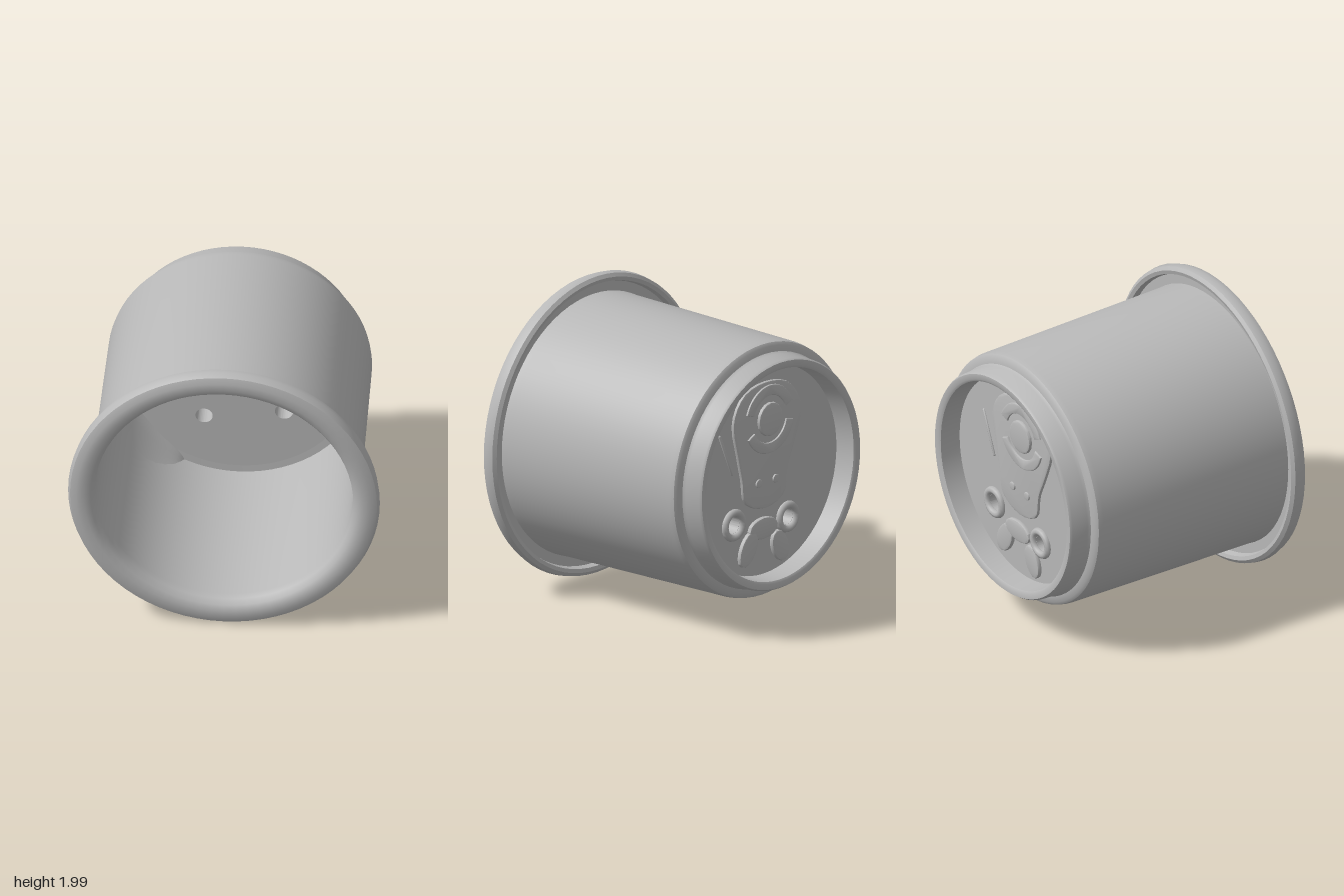
import * as THREE from 'three';
import { toCreasedNormals } from 'three/addons/utils/BufferGeometryUtils.js';

const FLOOR_BACK = -0.69, FLOOR_FRONT = -0.5;

export function createModel() {
  const model = new THREE.Group();
  const grey = new THREE.MeshStandardMaterial({ color: 0xb8b8b8 });

  // The cup lies on its side: its axis is z, at height y = 1
  const add = (name, geometry, crease = 0.6) => {
    const mesh = new THREE.Mesh(toCreasedNormals(geometry, crease), grey);
    mesh.name = name;
    mesh.position.y = 1;
    model.add(mesh);
  };
  const lathe = (points, segments = 72) => {
    const g = new THREE.LatheGeometry(points.map(([r, z]) => new THREE.Vector2(r, z)), segments);
    return g.rotateX(Math.PI / 2);
  };

  // Wall: foot ring, stepped shoulder, tapered side, rolled rim, inside
  add('cupWall', lathe([
    [0.69, -0.68], [0.70, -0.83], [0.715, -0.84], [0.75, -0.84], [0.76, -0.825],
    [0.765, -0.715], [0.775, -0.695], [0.815, -0.69], [0.835, -0.675], [0.842, -0.64],
    [0.862, 0.73], [0.865, 0.775], [0.93, 0.775], [0.94, 0.735], [0.965, 0.728],
    [0.988, 0.745], [0.995, 0.785], [0.98, 0.825], [0.94, 0.84], [0.89, 0.84],
    [0.85, 0.825], [0.825, 0.79], [0.82, 0.74], [0.80, FLOOR_FRONT], [0.72, FLOOR_FRONT - 0.004],
  ]));

  // Floor with two drain holes
  const holes = [[-0.22, -0.36, 0.055], [0.29, -0.30, 0.058]];
  const disc = new THREE.Shape().absarc(0, 0, 0.75, 0, Math.PI * 2);
  for (const [x, y, r] of holes) {
    disc.holes.push(new THREE.Path().absarc(x, y, r, 0, Math.PI * 2, true));
  }
  const floor = new THREE.ExtrudeGeometry(disc, {
    depth: FLOOR_FRONT - FLOOR_BACK, bevelEnabled: false, curveSegments: 36,
  });
  add('cupFloor', floor.translate(0, 0, FLOOR_BACK));

  // Uneven fillet where the inside wall meets the floor: [angle, half width, depth, height]
  const lumps = [[123, 17, 0.12, 0.3], [55, 17, 0.09, 0.25], [176, 26, 0.10, 0.5],
    [215, 30, 0.11, 0.36]];
  const steps = 6;
  const fillet = lathe(Array.from({ length: steps + 1 }, (_, i) => [1, i / steps]), 120);
  const pos = fillet.attributes.position;
  for (let i = 0; i < pos.count; i++) {
    const a = Math.atan2(pos.getY(i), pos.getX(i));
    const t = THREE.MathUtils.clamp(pos.getZ(i), 0, 1);
    let depth = 0, height = 0;
    for (const [deg, half, d, h] of lumps) {
      let off = Math.abs(a * 180 / Math.PI - deg) % 360;
      off = Math.min(off, 360 - off) / half;
      const w = off < 1 ? Math.sqrt(1 - off * off) : 0;
      depth = Math.max(depth, d * w);
      height = Math.max(height, h * w);
    }
    const r = 0.815 - (depth + 0.005) * Math.pow(t, 1.6);
    const z = FLOOR_FRONT - 0.01 + height * Math.pow(1 - t, 1.6);
    pos.setXYZ(i, r * Math.cos(a), r * Math.sin(a), z);
  }
  add('innerFillet', fillet, 0.8);

  // Relief on the underside, raised towards -z
  const relief = (name, shape, height, bevel = 0.012) => {
    const g = new THREE.ExtrudeGeometry(shape, {
      depth: height, bevelThickness: bevel, bevelSize: bevel, bevelSegments: 2, curveSegments: 8,
    });
    add(name, g.translate(0, 0, FLOOR_BACK - height), 0.5);
  };
  const outline = (pts) => new THREE.Shape(
    new THREE.CatmullRomCurve3(pts.map(([x, y]) => new THREE.Vector3(x, y, 0)), true)
      .getPoints(40).slice(0, -1).map((p) => new THREE.Vector2(p.x, p.y)));

  relief('pearRelief', outline([[0, 0.58], [-0.22, 0.53], [-0.33, 0.36], [-0.27, 0.15],
    [-0.20, -0.02], [-0.17, -0.18], [0, -0.24], [0.18, -0.17], [0.21, -0.02],
    [0.25, 0.15], [0.29, 0.38], [0.2, 0.53]]), 0.008);

  // Round boss with a broken ring around it
  relief('roundBoss', new THREE.Shape().absarc(-0.03, 0.34, 0.1, 0, Math.PI * 2), 0.03);
  for (const start of [0.35, 3.4]) {
    const arc = new THREE.Shape();
    arc.absarc(-0.03, 0.34, 0.22, start, start + 2.4);
    arc.absarc(-0.03, 0.34, 0.165, start + 2.4, start, true);
    relief('bossRing', arc, 0.025, 0.008);
  }

  // Raised collars around the drain holes
  for (const [x, y, r] of holes) {
    const collar = new THREE.TorusGeometry(r + 0.025, 0.025, 8, 20);
    add('holeCollar', collar.translate(x, y, FLOOR_BACK - 0.005), 1);
  }

  // Small studs and lobes below
  for (const x of [-0.09, 0.07]) {
    relief('smallStud', new THREE.Shape().absarc(x, -0.07, 0.022, 0, Math.PI * 2), 0.025, 0.006);
  }
  for (const [x, y, w, h, turn] of [[0.16, -0.49, 0.06, 0.11, 0.5], [-0.14, -0.53, 0.06, 0.1, -0.4],
    [0.02, -0.38, 0.12, 0.06, 0]]) {
    relief('lobe', new THREE.Shape().absellipse(x, y, w, h, 0, Math.PI * 2, false, turn), 0.015);
  }

  // Thin ridge beside the pear
  const ridge = new THREE.CapsuleGeometry(0.01, 0.3, 3, 8).rotateZ(-0.4);
  add('ridge', ridge.translate(0.36, 0.18, FLOOR_BACK), 1);

  return model;
}
